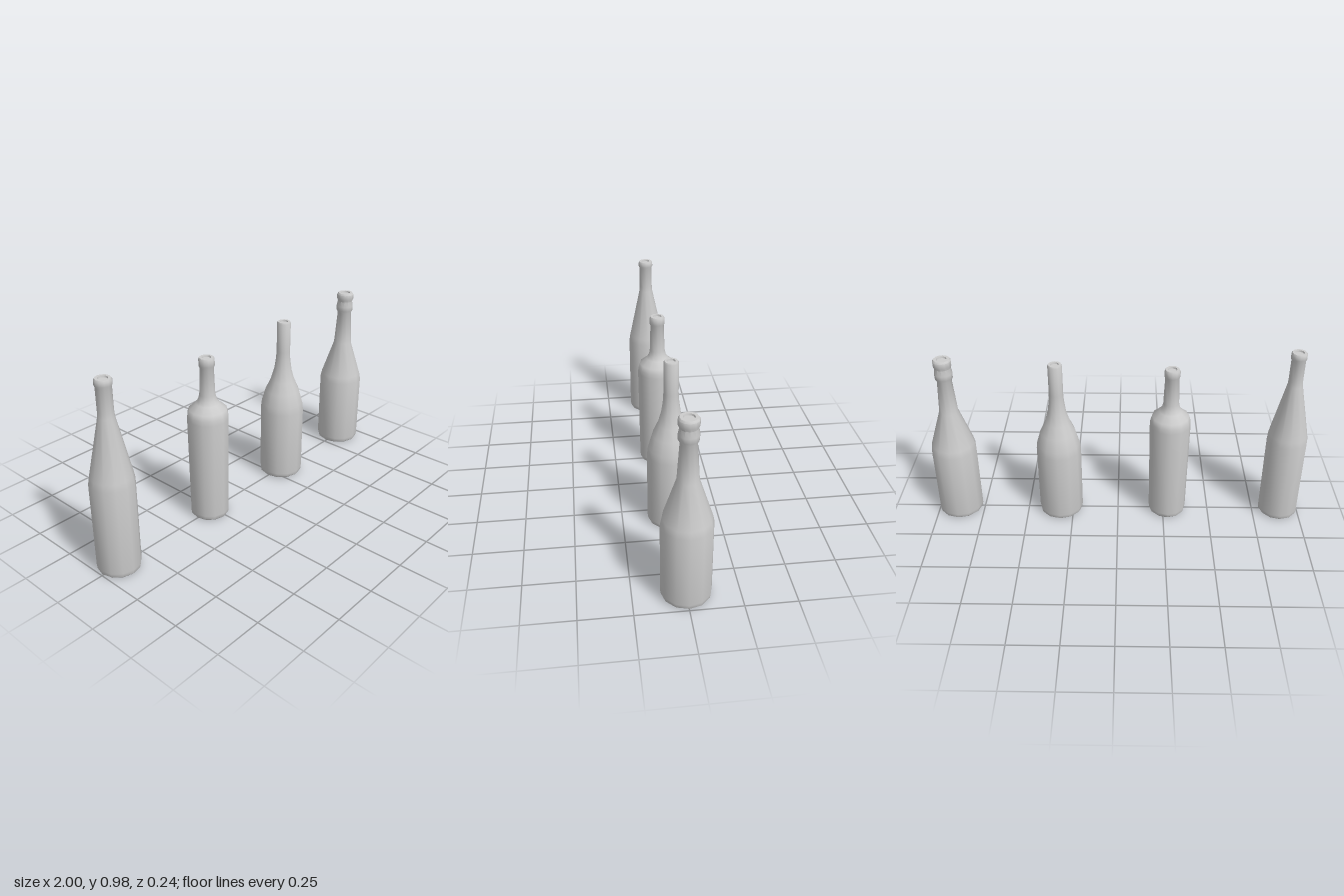
import * as THREE from 'three';
import { toCreasedNormals } from 'three/addons/utils/BufferGeometryUtils.js';

const SIDES = 12;

export function createModel() {
  const group = new THREE.Group();
  group.name = 'bottles';
  const grey = new THREE.MeshStandardMaterial({ color: 0xcccccc });
  grey.name = 'plain grey';

  // Outer profiles [radius, height] from the top of the base to the lip
  const bottles = [
    { name: 'flutedBottle', x: -0.893, punt: 0.035, profile: [
      [0.107, 0.03], [0.107, 0.475], [0.101, 0.51], [0.039, 0.8], [0.037, 0.83],
      [0.037, 0.945], [0.041, 0.955], [0.041, 0.975], [0.036, 0.984]] },
    { name: 'squareShoulderBottle', x: -0.273, punt: 0.05, profile: [
      [0.101, 0.03], [0.107, 0.56], [0.105, 0.585], [0.097, 0.612], [0.06, 0.642],
      [0.047, 0.663], [0.041, 0.69], [0.036, 0.835], [0.041, 0.845], [0.041, 0.875], [0.036, 0.885]] },
    { name: 'slopedShoulderBottle', x: 0.317, punt: 0.07, profile: [
      [0.119, 0.03], [0.119, 0.4], [0.114, 0.44], [0.094, 0.51], [0.067, 0.57],
      [0.048, 0.635], [0.039, 0.7], [0.037, 0.74], [0.037, 0.9], [0.033, 0.908]] },
    { name: 'sparklingBottle', x: 0.88, punt: 0.08, profile: [
      [0.12, 0.03], [0.12, 0.4], [0.113, 0.435], [0.05, 0.63], [0.038, 0.815],
      [0.046, 0.83], [0.047, 0.855], [0.041, 0.885], [0.047, 0.9], [0.047, 0.925], [0.04, 0.934]] },
  ];

  for (const { name, x, punt, profile } of bottles) {
    const r = profile[0][0];
    const [lipR, lipY] = profile[profile.length - 1];
    // Hollow punt under the base, body, then a shallow closed mouth
    const points = [
      [0, punt], [r * 0.35, punt * 0.8], [r * 0.72, 0.012], [r * 0.8, 0.002], [r * 0.9, 0.002], [r * 0.975, 0.01],
      ...profile,
      [lipR * 0.65, lipY], [lipR * 0.6, lipY - 0.008], [0, lipY - 0.008],
    ].map(([px, py]) => new THREE.Vector2(px, py));
    const bottle = new THREE.Mesh(toCreasedNormals(new THREE.LatheGeometry(points, SIDES), 0.75), grey);
    bottle.name = name;
    bottle.position.x = x;
    group.add(bottle);
  }
  return group;
}
